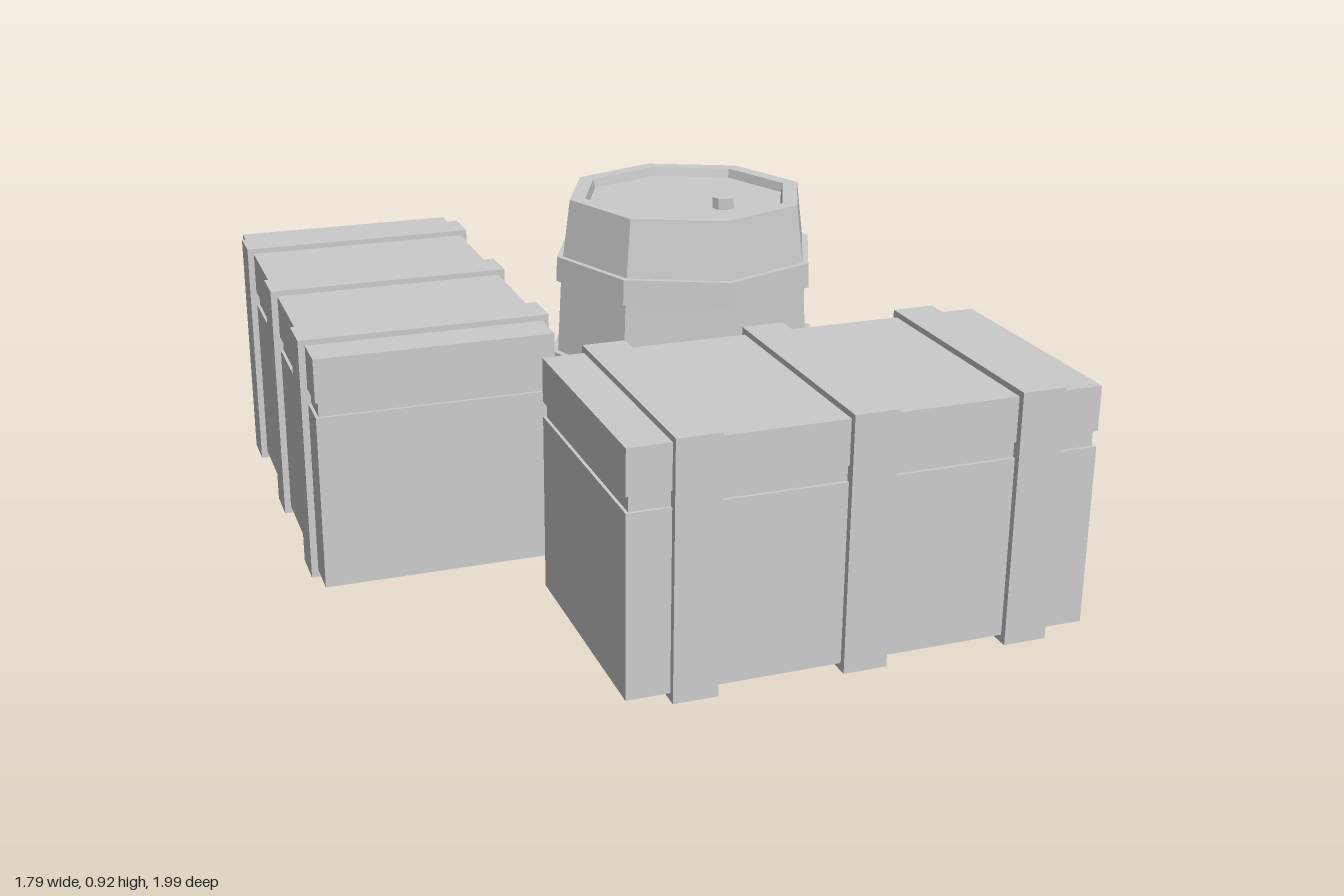
import * as THREE from 'three';

const material = new THREE.MeshStandardMaterial({ color: 0xcccccc, flatShading: true });

function add(parent, name, geometry, x = 0, y = 0, z = 0) {
  const mesh = new THREE.Mesh(geometry, material);
  mesh.name = name;
  mesh.position.set(x, y, z);
  parent.add(mesh);
  return mesh;
}

// Box spanning y0..y1, centred on x
function slab(parent, name, length, depth, y0, y1, x = 0) {
  return add(parent, name, new THREE.BoxGeometry(length, y1 - y0, depth), x, (y0 + y1) / 2, 0);
}

// Long crate with a seam under the lid and three wrapped bands
function crate(name, x, z, angle) {
  const group = new THREE.Group();
  group.name = name;
  slab(group, 'crateBody', 1.19, 0.62, 0.03, 0.495);
  slab(group, 'crateSeam', 1.174, 0.604, 0.495, 0.535);
  slab(group, 'crateLid', 1.19, 0.62, 0.535, 0.65);
  for (const bx of [-0.43, 0, 0.43]) slab(group, 'crateBand', 0.112, 0.655, 0.01, 0.665, bx);
  group.position.set(x, 0, z);
  group.rotation.y = angle;
  return group;
}

// Eight-sided turned shape from [radius, y] pairs
const turned = (points) =>
  new THREE.LatheGeometry(points.map(([r, y]) => new THREE.Vector2(r, y)), 8);

function barrel(x, z) {
  const group = new THREE.Group();
  group.name = 'barrel';

  // Bulging staves, with a raised rim round the recessed top
  add(group, 'barrelBody', turned([
    [0, 0], [0.326, 0], [0.352, 0.19], [0.367, 0.455], [0.353, 0.72],
    [0.328, 0.912], [0.285, 0.912], [0.28, 0.887], [0, 0.887],
  ]));

  // Hoops: lower y, upper y, lower radius, upper radius
  for (const [y0, y1, r0, r1] of [
    [0.16, 0.225, 0.366, 0.368],
    [0.42, 0.49, 0.383, 0.383],
    [0.69, 0.757, 0.368, 0.365],
  ]) {
    add(group, 'barrelHoop', turned([[0.33, y0], [r0, y0], [r1, y1], [0.33, y1]]));
  }

  add(group, 'bung', new THREE.CylinderGeometry(0.03, 0.03, 0.035, 8), 0.07, 0.8995, 0.105);
  group.position.set(x, 0, z);
  return group;
}

export function createModel() {
  const model = new THREE.Group();
  model.name = 'cratesAndBarrel';
  model.add(
    crate('frontCrate', 0.29, 0.653, 0.03),
    crate('sideCrate', -0.56, -0.397, -Math.PI / 2 + 0.025),
    barrel(0.225, -0.122),
  );
  return model;
}
